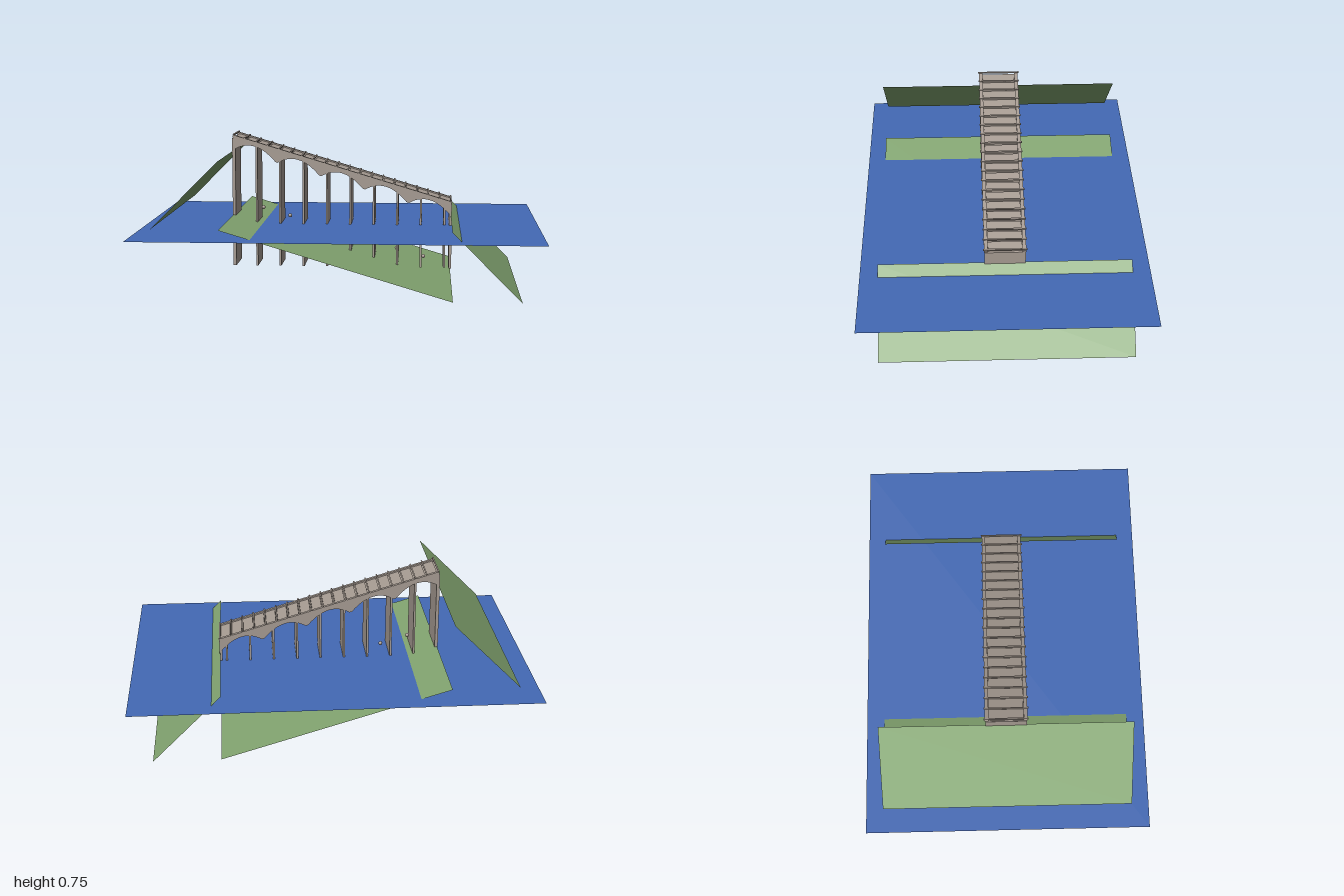
import * as THREE from 'three';

const SLOPE = -0.3, X0 = -0.56, X1 = 0.56;
const TILT = Math.atan(SLOPE);
// height of the sloping deck line at x
const deckY = (x) => 0.742 + SLOPE * (x - X0);

export function createModel() {
  const model = new THREE.Group();
  const stone = new THREE.MeshStandardMaterial({ name: 'stone', color: 0xa69b92 });
  const grass = new THREE.MeshStandardMaterial({ name: 'grass', color: 0x82a470, side: THREE.DoubleSide });
  const water = new THREE.MeshStandardMaterial({ name: 'water', color: 0x4369b5, side: THREE.DoubleSide });

  function add(name, geometry, material, x = 0, y = 0, z = 0, tilt = 0, parent = model) {
    const mesh = new THREE.Mesh(geometry, material);
    mesh.name = name;
    mesh.position.set(x, y, z);
    mesh.rotation.z = tilt;
    parent.add(mesh);
    return mesh;
  }

  // flat sheet running from (xa, ya) to (xb, yb), spread evenly along z
  function sheet(name, xa, ya, xb, yb, depth, material) {
    const geometry = new THREE.PlaneGeometry(Math.hypot(xb - xa, yb - ya), depth).rotateX(-Math.PI / 2);
    add(name, geometry, material, (xa + xb) / 2, (ya + yb) / 2, 0, Math.atan2(yb - ya, xb - xa));
  }

  // Water and the three banks
  sheet('waterSurface', -1, 0.29, 1, 0.29, 1.42, water);
  sheet('upperBank', -0.89, 0.335, -0.56, 0.665, 1.245, grass);
  sheet('riverBed', -0.56, 0.335, 0.56, 0, 1.245, grass);
  sheet('lowerBank', 0.555, 0.335, 0.89, 0, 1.245, grass);

  // Sloping deck with five arches cut into its underside
  const span = (X1 - X0) / 5, cusp = 0.068, crown = -0.026;
  const profile = new THREE.Shape();
  profile.moveTo(X0, deckY(X0) - 0.008);
  profile.lineTo(X0, deckY(X0) - cusp);
  for (let i = 0; i < 5; i++) {
    const a = X0 + i * span, mid = a + span / 2, b = a + span;
    profile.lineTo(a + 0.006, deckY(a + 0.006) - cusp);
    profile.quadraticCurveTo(mid, deckY(mid) - crown, b - 0.006, deckY(b - 0.006) - cusp);
  }
  profile.lineTo(X1, deckY(X1) - cusp);
  profile.lineTo(X1, deckY(X1) - 0.008);
  profile.closePath();
  const arches = new THREE.ExtrudeGeometry(profile, { depth: 0.2, bevelEnabled: false, curveSegments: 14 });
  add('archedDeck', arches.translate(0, 0, -0.1), stone);

  // Low side kerbs
  const length = (X1 - X0) / Math.cos(TILT);
  for (const side of [-1, 1]) {
    add('kerb', new THREE.BoxGeometry(length, 0.014, 0.018), stone, 0, deckY(0) - 0.002, side * 0.094, TILT);
  }

  // Paving slabs with a thin crossbar at each joint
  const paving = new THREE.Group();
  paving.name = 'paving';
  model.add(paving);
  const slab = new THREE.BoxGeometry(0.052, 0.008, 0.168);
  const bar = new THREE.BoxGeometry(0.007, 0.007, 0.216);
  const count = 19, step = (X1 - X0 - 0.008) / count;
  for (let i = 0; i <= count; i++) {
    const x = X0 + 0.004 + i * step;
    add('crossbar', bar, stone, x, deckY(x) + 0.007, 0, TILT, paving);
    if (i < count) {
      add('slab', slab, stone, x + step / 2, deckY(x + step / 2) - 0.006, 0, TILT, paving);
    }
  }

  // Thin pier walls
  function pier(name, x, thickness, bottom, drop) {
    const top = deckY(x) - drop;
    add(name, new THREE.BoxGeometry(thickness, top - bottom, 0.2), stone, x, (top + bottom) / 2, 0);
  }
  pier('upperEndWall', -0.556, 0.016, 0.07, 0.012);
  for (let i = 1; i < 10; i++) pier('pierWall', -0.56 + i * 0.1203, 0.01, 0.07, 0.018);
  pier('lowerEndWall', 0.553, 0.014, 0.065, 0.012);

  // Small stones strung out beneath the deck
  const ball = new THREE.SphereGeometry(0.01, 12, 8);
  for (let i = -3; i <= 3; i++) add('stoneBall', ball, stone, i * 0.139, 0.236 + SLOPE * i * 0.139, 0);

  return model;
}
